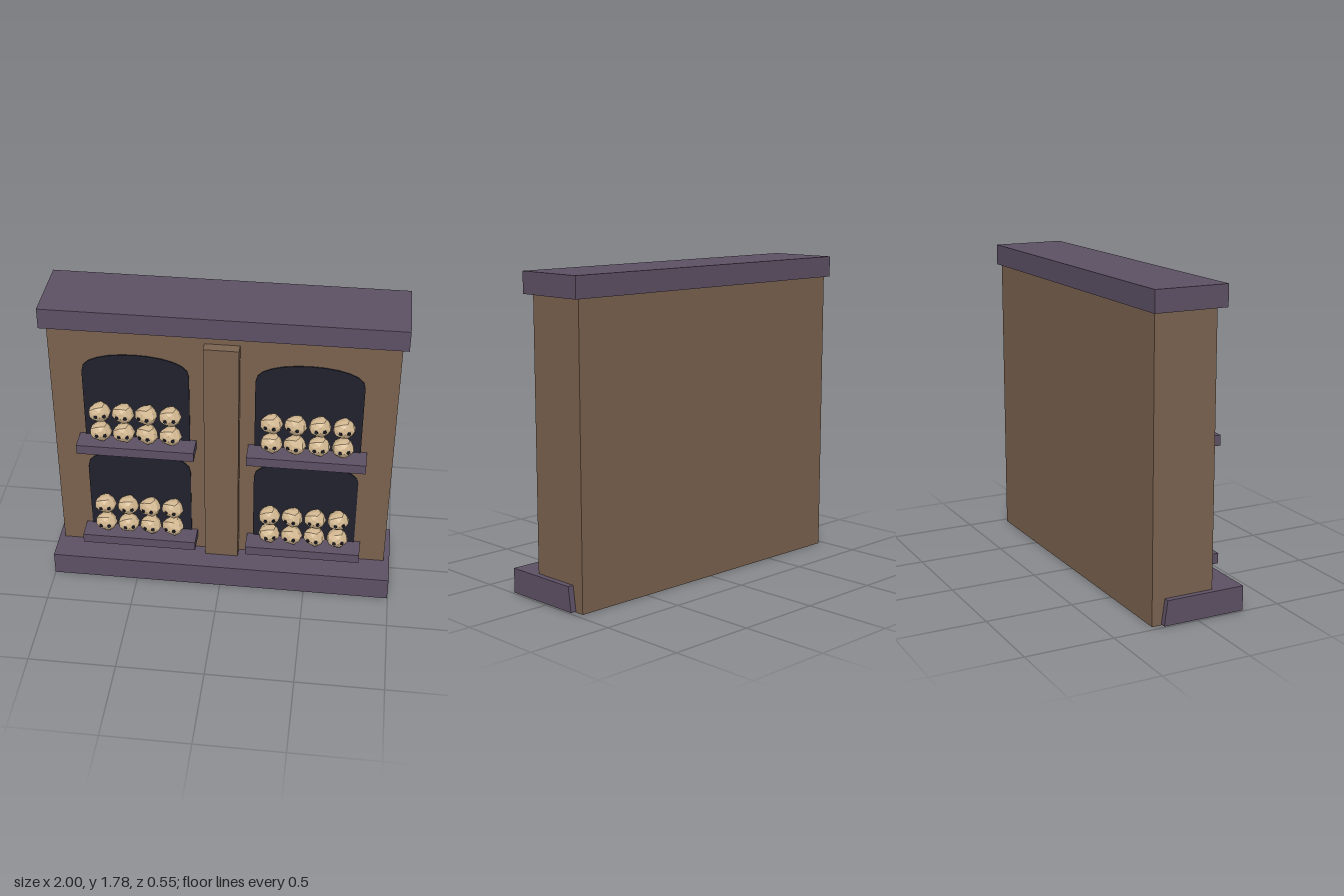
import * as THREE from 'three';

const mat = (name, color) => {
  const m = new THREE.MeshStandardMaterial({ color });
  m.name = name;
  m.flatShading = true;
  return m;
};

export function createModel() {
  const group = new THREE.Group();
  const wood = mat('brown stone', 0x7a624f);
  const trim = mat('purple trim', 0x5d5064);
  const dark = mat('dark niche', 0x20212d);
  const bone = mat('bone', 0xd3b891);

  const add = (name, geo, material, parent = group) => {
    const mesh = new THREE.Mesh(geo, material);
    mesh.name = name;
    parent.add(mesh);
    return mesh;
  };
  // Box given by its limits on each axis
  const box = (name, material, [x0, x1], [y0, y1], [z0, z1]) => {
    const mesh = add(name, new THREE.BoxGeometry(x1 - x0, y1 - y0, z1 - z0), material);
    mesh.position.set((x0 + x1) / 2, (y0 + y1) / 2, (z0 + z1) / 2);
    return mesh;
  };

  // Main wall, cap, plinth and central pillar
  box('wall', wood, [-0.967, 0.963], [0, 1.67], [-0.26, 0.103]);
  box('cap', trim, [-1, 0.995], [1.66, 1.78], [-0.277, 0.147]);
  box('plinthFront', trim, [-1, 0.997], [0.005, 0.145], [0.09, 0.277]);
  box('pillar', wood, [-0.1, 0.095], [0.13, 1.6], [0.09, 0.163]);

  // Plinth returns along the sides, with a slanted back end
  const sideProfile = new THREE.Shape([
    [0.1, 0.005], [0.1, 0.145], [-0.185, 0.145], [-0.205, 0.005],
  ].map(([z, y]) => new THREE.Vector2(-z, y)));
  for (const x of [-1, 0.957]) {
    const geo = new THREE.ExtrudeGeometry(sideProfile, { depth: 0.04, bevelEnabled: false });
    geo.rotateY(Math.PI / 2);
    add('plinthSide', geo, trim).position.x = x;
  }

  // Arched dark panel: straight sides and a shallow elliptical top
  const archShape = new THREE.Shape();
  archShape.moveTo(-0.3, 0);
  archShape.lineTo(0.3, 0);
  archShape.lineTo(0.3, 0.45);
  for (let i = 1; i <= 12; i++) {
    const a = (i / 12) * Math.PI;
    archShape.lineTo(0.3 * Math.cos(a), 0.45 + 0.125 * Math.pow(Math.sin(a), 0.8));
  }
  archShape.closePath();
  const archGeo = new THREE.ExtrudeGeometry(archShape, { depth: 0.009, bevelEnabled: false });

  // Faceted skull: rough ball with a narrowed jaw
  const skullGeo = new THREE.IcosahedronGeometry(1, 1);
  const pos = skullGeo.attributes.position;
  const v = new THREE.Vector3();
  for (let i = 0; i < pos.count; i++) {
    v.fromBufferAttribute(pos, i);
    const rough = 1 + 0.07 * Math.sin(v.x * 7 + v.y * 11 + v.z * 5);
    const jaw = v.y < -0.2 ? 1 + (v.y + 0.2) * 0.35 : 1;
    pos.setXYZ(i, v.x * 0.064 * rough * jaw, v.y * 0.06 * rough, v.z * 0.06 * rough * jaw);
  }
  skullGeo.computeVertexNormals();
  const eyeGeo = new THREE.CylinderGeometry(0.011, 0.011, 0.008, 5);
  eyeGeo.rotateX(Math.PI / 2);

  const addSkull = (x, y, n) => {
    const skull = new THREE.Group();
    skull.name = 'skull';
    add('cranium', skullGeo, bone, skull).rotation.z = 0.12 * Math.sin(n * 2.3);
    for (const side of [-1, 1]) {
      const eye = add('eyeSocket', eyeGeo, dark, skull);
      eye.position.set(side * 0.024, 0.002, 0.05);
      eye.rotation.y = side * 0.4;
    }
    skull.position.set(x, y, 0.168);
    skull.rotation.y = 0.25 * Math.sin(n * 1.7);
    group.add(skull);
  };

  // Four niches, each with a shelf and two rows of skulls
  let n = 0;
  for (const cx of [-0.487, 0.48]) {
    for (const shelfTop of [0.28, 0.943]) {
      add('niche', archGeo, dark).position.set(cx, shelfTop - 0.02, 0.101);
      box('shelf', trim, [cx - 0.335, cx + 0.335], [shelfTop - 0.058, shelfTop], [0.09, 0.228]);
      for (const dy of [0.068, 0.2]) {
        for (let i = 0; i < 4; i++) addSkull(cx - 0.202 + i * 0.133, shelfTop + dy, n++);
      }
    }
  }
  return group;
}
